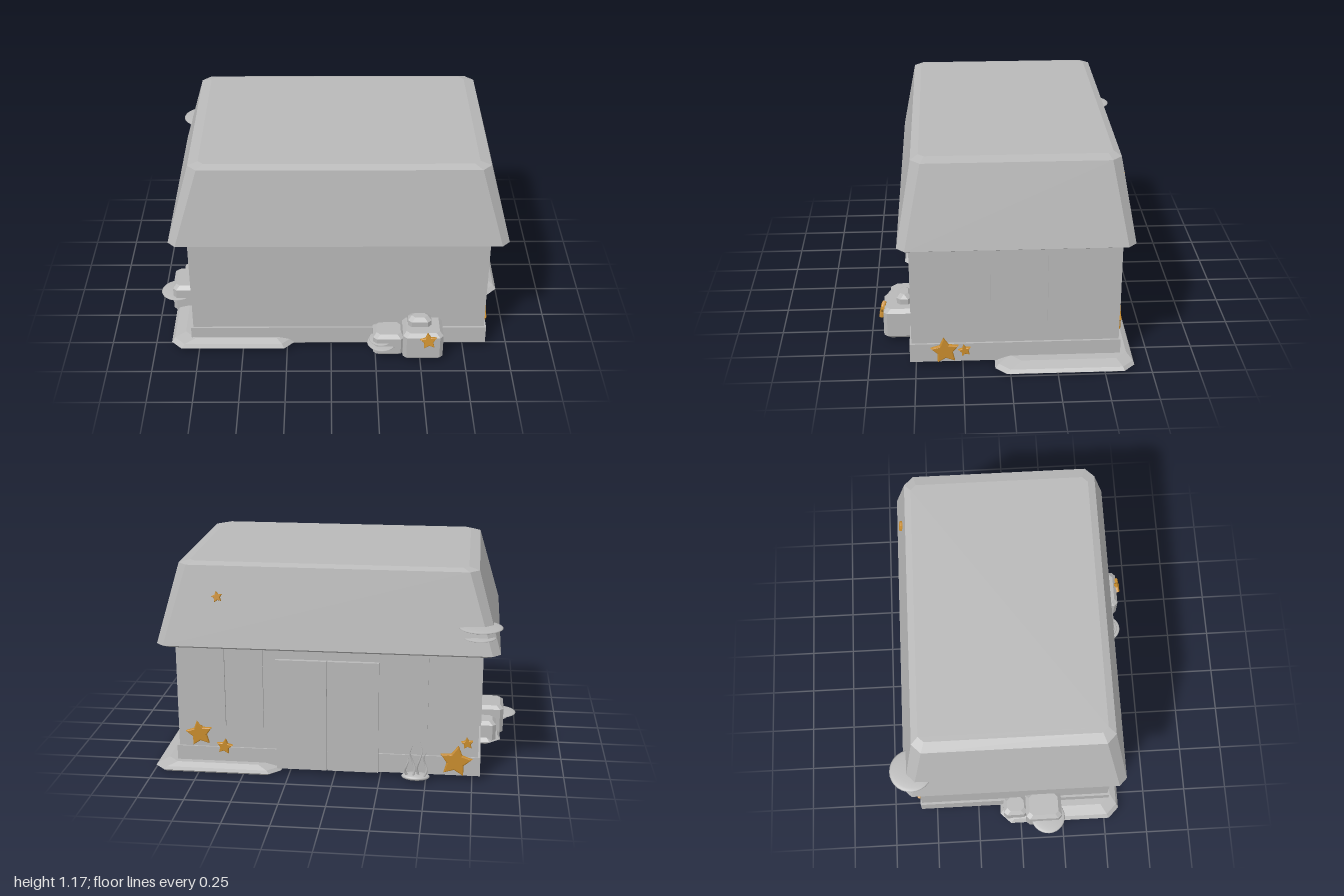
import * as THREE from 'three';

const stone = new THREE.MeshStandardMaterial({ color: 0xb8b8b8 });
stone.name = 'pale stone';
const orange = new THREE.MeshStandardMaterial({ color: 0xc88c2d });
orange.name = 'starfish orange';

// Stacked eight-sided rings [y, x0, x1, z0, z1, corner cut], closed at both ends, flat faces
function loft(rings) {
  const loops = rings.map(([y, x0, x1, z0, z1, c]) => [
    [x0 + c, z1], [x1 - c, z1], [x1, z1 - c], [x1, z0 + c],
    [x1 - c, z0], [x0 + c, z0], [x0, z0 + c], [x0, z1 - c],
  ].map(([x, z]) => [x, y, z]));
  const pos = [];
  const tri = (a, b, c) => pos.push(...a, ...b, ...c);
  for (let r = 0; r < loops.length - 1; r++) {
    const low = loops[r], up = loops[r + 1];
    for (let i = 0; i < 8; i++) {
      const j = (i + 1) % 8;
      tri(low[i], low[j], up[j]);
      tri(low[i], up[j], up[i]);
    }
  }
  const first = loops[0], last = loops[loops.length - 1];
  for (let i = 1; i < 7; i++) {
    tri(last[0], last[i], last[i + 1]);
    tri(first[0], first[i + 1], first[i]);
  }
  const g = new THREE.BufferGeometry();
  g.setAttribute('position', new THREE.Float32BufferAttribute(pos, 3));
  g.computeVertexNormals();
  return g;
}

// Box with bevelled edges
function rock(x0, x1, y0, y1, z0, z1, b = 0.02) {
  return loft([
    [y0, x0 + b, x1 - b, z0 + b, z1 - b, b],
    [y0 + b, x0, x1, z0, z1, b],
    [y1 - b, x0, x1, z0, z1, b],
    [y1, x0 + b, x1 - b, z0 + b, z1 - b, b],
  ]);
}

function box(x0, x1, y0, y1, z0, z1) {
  return new THREE.BoxGeometry(x1 - x0, y1 - y0, z1 - z0)
    .translate((x0 + x1) / 2, (y0 + y1) / 2, (z0 + z1) / 2);
}

// Five-armed star facing +z
function starGeometry(r) {
  const s = new THREE.Shape();
  for (let i = 0; i < 10; i++) {
    const a = Math.PI / 2 + i * Math.PI / 5, q = i % 2 ? r * 0.45 : r * 0.9;
    const x = Math.cos(a) * q, y = Math.sin(a) * q;
    if (i) s.lineTo(x, y); else s.moveTo(x, y);
  }
  return new THREE.ExtrudeGeometry(s, {
    depth: 0.008, bevelEnabled: true, bevelSize: r * 0.09, bevelThickness: 0.007, bevelSegments: 2,
  });
}

export function createModel() {
  const model = new THREE.Group();
  const add = (name, geometry, material = stone) => {
    const m = new THREE.Mesh(geometry, material);
    m.name = name;
    model.add(m);
    return m;
  };

  // Building shell
  add('walls', box(-0.78, 0.866, 0.1, 0.73, -0.583, 0.522));
  add('plinth', box(-0.793, 0.878, 0.03, 0.137, -0.592, 0.532));
  add('roof', loft([
    [0.715, -0.84, 0.93, -0.61, 0.55, 0.04],
    [0.732, -0.88, 0.962, -0.643, 0.58, 0.042],
    [1.163, -0.756, 0.845, -0.567, 0.5, 0.05],
    [1.178, -0.7, 0.785, -0.53, 0.46, 0.03],
  ]));

  // Tall window panels on both ends
  for (const [z0, z1] of [[0.165, 0.405], [-0.145, 0.1], [-0.445, -0.2]]) {
    add('leftWindow', box(0.86, 0.882, 0.265, 0.718, z0, z1));
    add('rightWindow', box(-0.792, -0.775, 0.265, 0.718, z0, z1));
  }
  // Back windows and the double door, mirrored about the middle of the wall
  const mid = 0.04;
  for (const s of [-1, 1]) {
    for (const [a, b] of [[0.35, 0.545], [0.56, 0.755]]) {
      const e = [mid + s * a, mid + s * b].sort((p, q) => p - q);
      add('backWindow', box(e[0], e[1], 0.265, 0.718, -0.597, -0.58));
    }
    const d = [mid + s * 0.003, mid + s * 0.28].sort((p, q) => p - q);
    add('doorLeaf', box(d[0], d[1], 0.03, 0.66, -0.606, -0.58));
  }

  // Sand slabs under two opposite corners
  add('frontSlab', loft([
    [0.016, -0.88, -0.23, -0.1, 0.57, 0.05],
    [0.032, -0.908, -0.205, -0.12, 0.588, 0.06],
    [0.055, -0.89, -0.22, -0.1, 0.575, 0.06],
    [0.07, -0.83, -0.25, -0.05, 0.54, 0.06],
  ]));
  add('backSlab', loft([
    [0.004, 0.32, 0.98, -0.645, 0.06, 0.05],
    [0.018, 0.295, 1.0, -0.662, 0.08, 0.06],
    [0.035, 0.31, 0.985, -0.655, 0.06, 0.06],
    [0.055, 0.36, 0.93, -0.625, 0.0, 0.06],
  ]));

  // Rock clusters
  add('largeFrontRock', rock(0.4, 0.625, 0.02, 0.2, 0.48, 0.68));
  add('topFrontRock', rock(0.43, 0.56, 0.18, 0.253, 0.525, 0.607));
  add('smallFrontRock', rock(0.235, 0.41, 0.025, 0.167, 0.5, 0.65));
  add('largeSideRock', rock(-0.925, -0.76, 0.02, 0.2, 0.03, 0.24));
  add('smallSideRock', rock(-0.882, -0.76, 0.02, 0.15, -0.1, 0.04));

  // Thin shelf corals: x, y, z, radius
  for (const [x, y, z, r] of [
    [-0.77, 0.875, -0.59, 0.118], [-0.765, 0.82, -0.585, 0.09],
    [-0.9, 0.12, 0.16, 0.1], [-0.89, 0.095, 0.15, 0.06],
    [0.285, 0.092, 0.605, 0.083], [0.28, 0.115, 0.6, 0.068],
  ]) {
    const shelf = add('shelfCoral', new THREE.SphereGeometry(r, 28, 10));
    shelf.scale.y = 0.09;
    shelf.position.set(x, y, z);
  }

  // Starfish: x, y, z, radius, turn about y, tilt, roll
  const B = Math.PI, S = Math.PI / 2;
  for (const [x, y, z, r, turn, tilt, roll] of [
    [0.54, 0.165, 0.682, 0.048, 0, -0.25, 0.1],
    [0.88, 0.1, 0.345, 0.077, S, 0, 0.1],
    [0.88, 0.1, 0.24, 0.034, S, 0, 0.2],
    [0.75, 0.215, -0.588, 0.075, B, 0, 0.15],
    [0.61, 0.145, -0.594, 0.045, B, 0, -0.15],
    [-0.66, 0.115, -0.595, 0.09, B, 0, -0.15],
    [-0.72, 0.22, -0.588, 0.033, B, 0, 0.1],
    [0.625, 1.0, -0.596, 0.03, B, -0.17, 0.2],
  ]) {
    const star = add('starfish', starGeometry(r), orange);
    star.rotation.set(tilt, turn, roll, 'YXZ');
    star.position.set(x, y, z);
  }

  // Seaweed tuft on a low mound
  const mound = add('seaweedMound', new THREE.SphereGeometry(0.078, 20, 10));
  mound.scale.set(1, 0.24, 0.6);
  mound.position.set(-0.445, 0.025, -0.615);
  [[-0.045, 0.15], [-0.018, 0.2], [0.015, 0.18], [0.042, 0.13]].forEach(([dx, h], i) => {
    const sway = i % 2 ? 0.012 : -0.012;
    const points = [0, 1, 2, 3, 4].map((k) => new THREE.Vector3(
      -0.445 + dx * (1 + k * 0.08) + sway * Math.sin(k * 1.6),
      0.03 + h * k / 4,
      -0.632 + sway * 0.5 * Math.cos(k * 1.5)));
    const curve = new THREE.CatmullRomCurve3(points);
    const g = new THREE.TubeGeometry(curve, 16, 0.007, 6);
    // Taper each frond to a tip
    const p = g.attributes.position, v = new THREE.Vector3();
    for (let n = 0; n < p.count; n++) {
      const t = Math.floor(n / 7) / 16, c = curve.getPointAt(t);
      v.fromBufferAttribute(p, n).sub(c).multiplyScalar(1 - 0.95 * t * t).add(c);
      p.setXYZ(n, v.x, v.y, v.z);
    }
    add('seaweedFrond', g);
  });

  return model;
}
